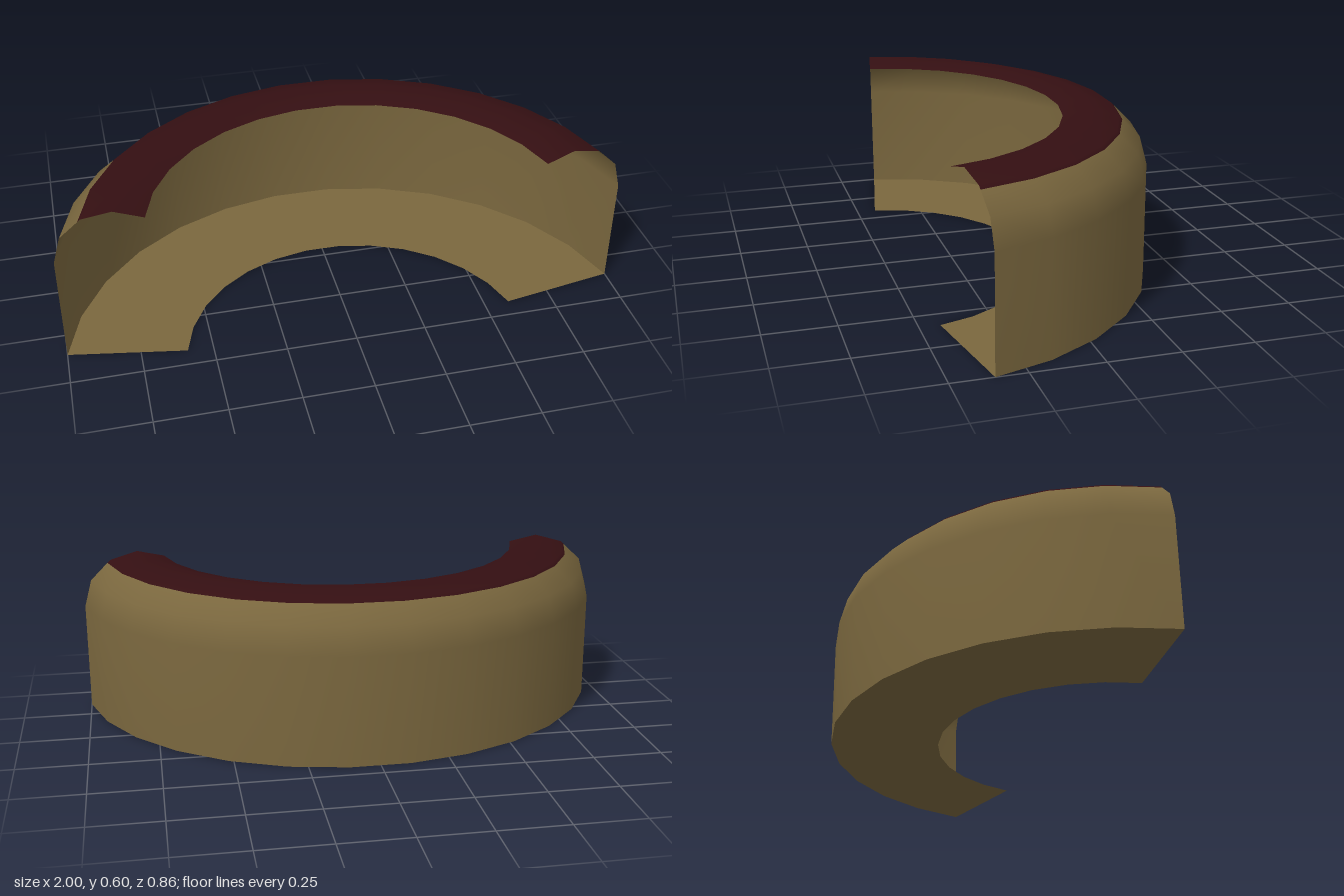
import * as THREE from 'three';

const SEGMENTS = 13;
const START = THREE.MathUtils.degToRad(10.5);
const CENTRE_Z = 0.534;

// Point on the curved bench: s runs from the outer edge (0) to the inner edge (1).
function pointAt(s, y, j) {
  const t = START + (Math.PI - 2 * START) * (j / SEGMENTS);
  const a = 1.017 - 0.417 * s;
  const b = 0.975 - 0.396 * s;
  return [a * Math.cos(t), y, CENTRE_Z - b * Math.sin(t)];
}

// Sweeps a cross-section of [s, y] points round the arc; each band takes a material index.
function sweep(section, bandMaterials) {
  const positions = [];
  const index = [];
  const row = SEGMENTS + 1;
  const geometry = new THREE.BufferGeometry();
  section.forEach(([s, y]) => {
    for (let j = 0; j < row; j++) positions.push(...pointAt(s, y, j));
  });
  for (let i = 0; i < section.length - 1; i++) {
    geometry.addGroup(index.length, SEGMENTS * 6, bandMaterials[i]);
    for (let j = 0; j < SEGMENTS; j++) {
      const a = i * row + j;
      const c = a + row;
      index.push(a, a + 1, c, a + 1, c + 1, c);
    }
  }
  geometry.setAttribute('position', new THREE.Float32BufferAttribute(positions, 3));
  geometry.setIndex(index);
  geometry.computeVertexNormals();
  return geometry;
}

export function createModel() {
  const group = new THREE.Group();
  group.name = 'curvedShell';

  const olive = new THREE.MeshStandardMaterial({ color: 0x7a673e, side: THREE.DoubleSide });
  olive.name = 'olive';
  const darkRed = new THREE.MeshStandardMaterial({ color: 0x340f12, side: THREE.DoubleSide });
  darkRed.name = 'dark red';

  // Outer wall rounding over into the red top strip, open on the inner side
  const section = [[0, 0], [0, 0.4], [0.067, 0.5], [0.225, 0.563], [0.25, 0.573], [0.5, 0.6], [0.75, 0.573]];
  const shell = new THREE.Mesh(sweep(section, [0, 0, 0, 1, 1, 1]), [olive, darkRed]);
  shell.name = 'outerWallAndTopStrip';
  group.add(shell);

  // Flat base
  const base = new THREE.Mesh(sweep([[1, 0], [0, 0]], [0]), [olive]);
  base.name = 'base';
  group.add(base);

  return group;
}
